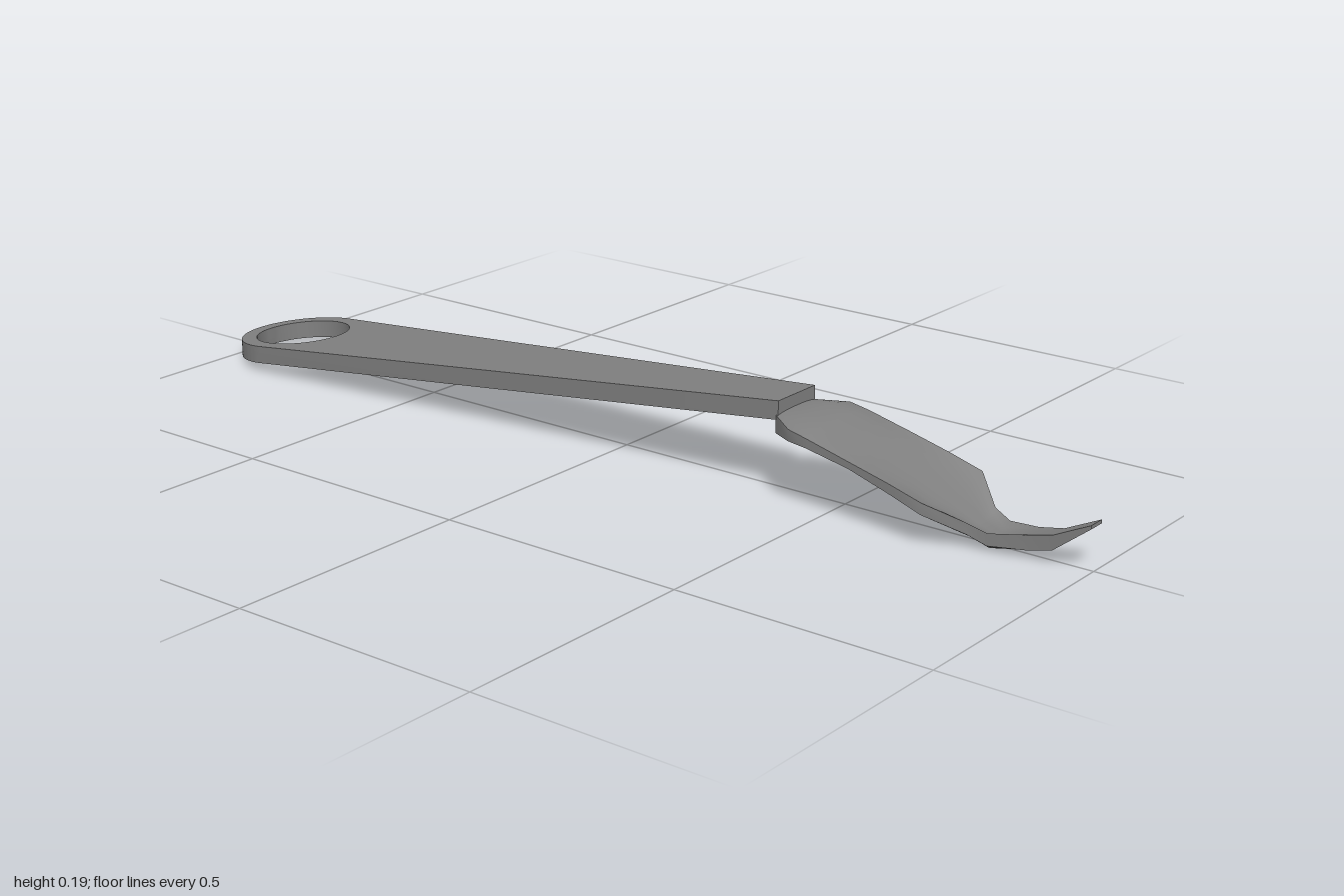
import * as THREE from 'three';
import { toCreasedNormals } from 'three/addons/utils/BufferGeometryUtils.js';

const steel = new THREE.MeshStandardMaterial({ color: 0x808080 });
steel.name = 'grey steel';

// Tapered bar with a round eye, tilted gently down towards the back
function handleGeometry() {
  const eyeY = 0.872, r = 0.128;
  const shape = new THREE.Shape();
  shape.moveTo(-0.057, -0.39);
  shape.lineTo(0.057, -0.39);
  shape.lineTo(r, eyeY);
  shape.absarc(0, eyeY, r, 0, Math.PI, false);
  shape.closePath();
  const hole = new THREE.Path();
  hole.absarc(0, eyeY, 0.097, 0, Math.PI * 2, true);
  shape.holes.push(hole);
  const geo = new THREE.ExtrudeGeometry(shape, { depth: 0.036, bevelEnabled: false, curveSegments: 32 });
  geo.rotateX(-Math.PI / 2);
  const slope = 0.104;
  geo.applyMatrix4(new THREE.Matrix4().set(
    1, 0, 0, 0,
    0, 1, slope, 0.115,
    0, 0, 1, 0,
    0, 0, 0, 1));
  return toCreasedNormals(geo, 0.5);
}

// Lofted blade: z, half width, top height, thickness, lift of the side edges
const SECTIONS = [
  [0.385, 0.057, 0.168, 0.034, -0.004],
  [0.44, 0.097, 0.172, 0.022, -0.012],
  [0.48, 0.099, 0.162, 0.018, -0.010],
  [0.57, 0.100, 0.130, 0.013, 0.000],
  [0.65, 0.100, 0.101, 0.018, 0.009],
  [0.72, 0.100, 0.072, 0.022, 0.018],
  [0.78, 0.047, 0.040, 0.021, 0.012],
  [0.815, 0.038, 0.028, 0.023, 0.011],
  [0.88, 0.023, 0.046, 0.028, 0.002],
  [0.93, 0.020, 0.059, 0.028, 0.000],
  [1.0, 0.018, 0.093, 0.007, 0.000],
];

function bladeGeometry() {
  const n = 10, ring = 2 * (n + 1), pos = [], idx = [];
  for (const [z, w, top, t, lift] of SECTIONS) {
    for (let side = 0; side < 2; side++) {
      for (let j = 0; j <= n; j++) {
        const u = (side ? -1 : 1) * (2 * j / n - 1);
        pos.push(u * w, top + lift * Math.abs(u) ** 3 - side * t, z);
      }
    }
  }
  // Skin between neighbouring sections
  for (let i = 0; i < SECTIONS.length - 1; i++) {
    for (let j = 0; j < ring; j++) {
      const k = (j + 1) % ring;
      const a = i * ring + j, b = i * ring + k, c = b + ring, d = a + ring;
      idx.push(a, d, b, b, d, c);
    }
  }
  // End caps
  const last = (SECTIONS.length - 1) * ring;
  for (let j = 0; j < n; j++) {
    const t0 = j, t1 = j + 1, b1 = ring - 2 - j, b0 = ring - 1 - j;
    idx.push(t0, t1, b1, t0, b1, b0);
    idx.push(last + t0, last + b1, last + t1, last + t0, last + b0, last + b1);
  }
  const geo = new THREE.BufferGeometry();
  geo.setAttribute('position', new THREE.Float32BufferAttribute(pos, 3));
  geo.setIndex(idx);
  return toCreasedNormals(geo, 0.75);
}

export function createModel() {
  const model = new THREE.Group();
  model.name = 'scraperTool';
  const add = (name, geo) => {
    const mesh = new THREE.Mesh(geo, steel);
    mesh.name = name;
    model.add(mesh);
  };
  add('handle', handleGeometry());
  add('hookedBlade', bladeGeometry());
  return model;
}
